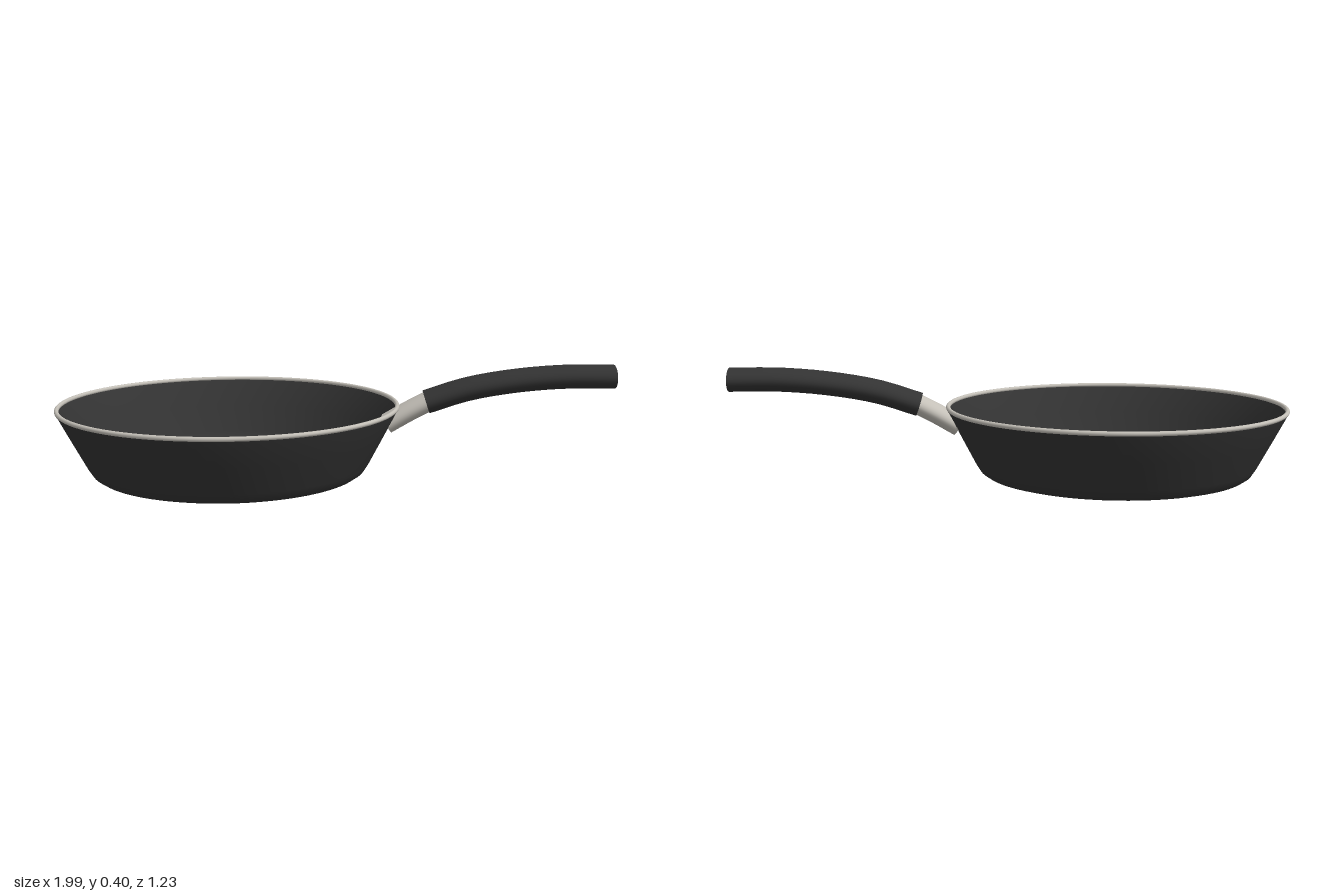
import * as THREE from 'three';

const PAN_X = -0.385;

function material(name, color, side = THREE.FrontSide) {
  const m = new THREE.MeshStandardMaterial({ color, side });
  m.name = name;
  return m;
}

// Closed elliptical bar swept along a curve in the xy plane
function ovalBar(name, points, halfHeight, halfWidth, steps, mat) {
  const group = new THREE.Group();
  group.name = name;
  const curve = new THREE.CatmullRomCurve3(points.map(([x, y]) => new THREE.Vector3(x, y, 0)));
  const stretch = halfWidth / halfHeight;
  const tube = new THREE.TubeGeometry(curve, steps, halfHeight, 32).scale(1, 1, stretch);
  const body = new THREE.Mesh(tube, mat);
  body.name = name + 'Body';
  group.add(body);
  for (const t of [0, 1]) {
    const dir = curve.getTangentAt(t).multiplyScalar(t ? 1 : -1);
    const p = curve.getPointAt(t);
    const cap = new THREE.CircleGeometry(halfHeight, 32)
      .rotateY(Math.PI / 2)
      .scale(1, 1, stretch)
      .rotateZ(Math.atan2(dir.y, dir.x))
      .translate(p.x, p.y, 0);
    const mesh = new THREE.Mesh(cap, mat);
    mesh.name = name + 'End';
    group.add(mesh);
  }
  return group;
}

export function createModel() {
  const model = new THREE.Group();
  model.name = 'fryingPan';
  const black = material('blackCoating', 0x333333, THREE.DoubleSide);
  const steel = material('steel', 0xc4c0b8);

  // Pan body: outside from the base up, then back down the inside
  const outside = [[0, 0], [0.41, 0], [0.445, 0.004], [0.473, 0.012], [0.492, 0.025],
    [0.508, 0.05], [0.56, 0.149], [0.612, 0.25]];
  const inside = [[0.602, 0.25], [0.548, 0.149], [0.497, 0.053], [0.482, 0.034],
    [0.465, 0.023], [0.44, 0.016], [0.405, 0.012], [0, 0.012]];
  const profile = [...outside, ...inside].map(([r, y]) => new THREE.Vector2(r, y));
  const pan = new THREE.Mesh(new THREE.LatheGeometry(profile, 96), black);
  pan.name = 'panBody';
  pan.position.x = PAN_X;
  model.add(pan);

  // Bare metal rim
  const rim = new THREE.Mesh(new THREE.TorusGeometry(0.607, 0.008, 10, 96).rotateX(Math.PI / 2), steel);
  rim.name = 'rim';
  rim.position.set(PAN_X, 0.253, 0);
  model.add(rim);

  // Arched grip and the ferrule joining it to the wall
  model.add(ovalBar('handle',
    [[0.325, 0.267], [0.47, 0.314], [0.64, 0.345], [0.82, 0.361], [0.99, 0.362]],
    0.042, 0.07, 14, black));
  model.add(ovalBar('ferrule', [[0.185, 0.187], [0.26, 0.231], [0.34, 0.273]], 0.036, 0.06, 6, steel));

  // Mounting plate and rivets on the inner wall
  const plate = new THREE.Mesh(new THREE.BoxGeometry(0.012, 0.075, 0.1), steel);
  plate.name = 'mountingPlate';
  plate.position.set(0.18, 0.188, 0);
  plate.rotation.z = -0.48;
  model.add(plate);
  for (const [x, y, z] of [[0.18, 0.195, 0.07], [0.18, 0.195, -0.07], [0.17, 0.178, 0]]) {
    const rivet = new THREE.Mesh(new THREE.SphereGeometry(0.016, 16, 10), steel);
    rivet.name = 'rivet';
    rivet.position.set(x, y, z);
    model.add(rivet);
  }
  return model;
}
